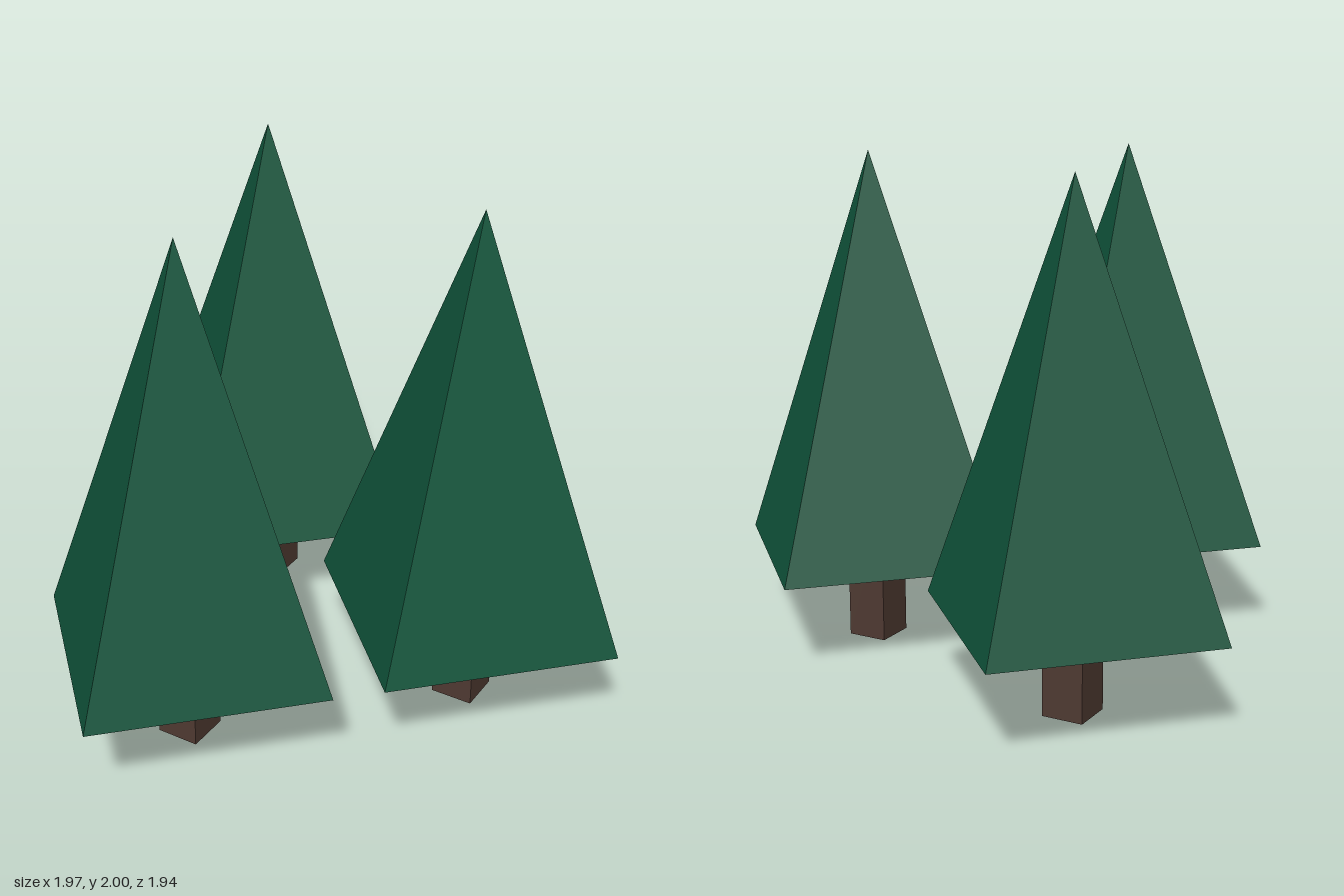
import * as THREE from 'three';

const BASE_Y = 0.37, TOP_Y = 2, HALF_WIDTH = 0.445;
const TRUNK_HEIGHT = 0.54, TRUNK_RADIUS = 0.118;

export function createModel() {
  const group = new THREE.Group();
  group.name = 'pineTrees';

  const foliage = new THREE.MeshStandardMaterial({ color: 0x10543b, flatShading: true, side: THREE.DoubleSide });
  foliage.name = 'pine green';
  const bark = new THREE.MeshStandardMaterial({ color: 0x4f3a32, flatShading: true });
  bark.name = 'bark brown';

  // Crown: square pyramid, open underneath, with its sides along x and z
  const crownGeometry = new THREE.ConeGeometry(HALF_WIDTH * Math.SQRT2, TOP_Y - BASE_Y, 4, 1, true);
  crownGeometry.rotateY(Math.PI / 4);
  crownGeometry.translate(0, (TOP_Y + BASE_Y) / 2, 0);

  // Trunk: square post turned corner-first, reaching up inside the crown
  const trunkGeometry = new THREE.CylinderGeometry(TRUNK_RADIUS, TRUNK_RADIUS, TRUNK_HEIGHT, 4);
  trunkGeometry.translate(0, TRUNK_HEIGHT / 2, 0);

  function addTree(name, x, z) {
    const tree = new THREE.Group();
    tree.name = name;
    const crown = new THREE.Mesh(crownGeometry, foliage);
    crown.name = 'crown';
    const trunk = new THREE.Mesh(trunkGeometry, bark);
    trunk.name = 'trunk';
    tree.add(crown, trunk);
    tree.position.set(x, 0, z);
    group.add(tree);
  }

  // Two trees in front, one behind
  addTree('frontRightTree', -0.54, 0.524);
  addTree('frontLeftTree', 0.54, 0.524);
  addTree('backTree', 0.013, -0.524);

  return group;
}
